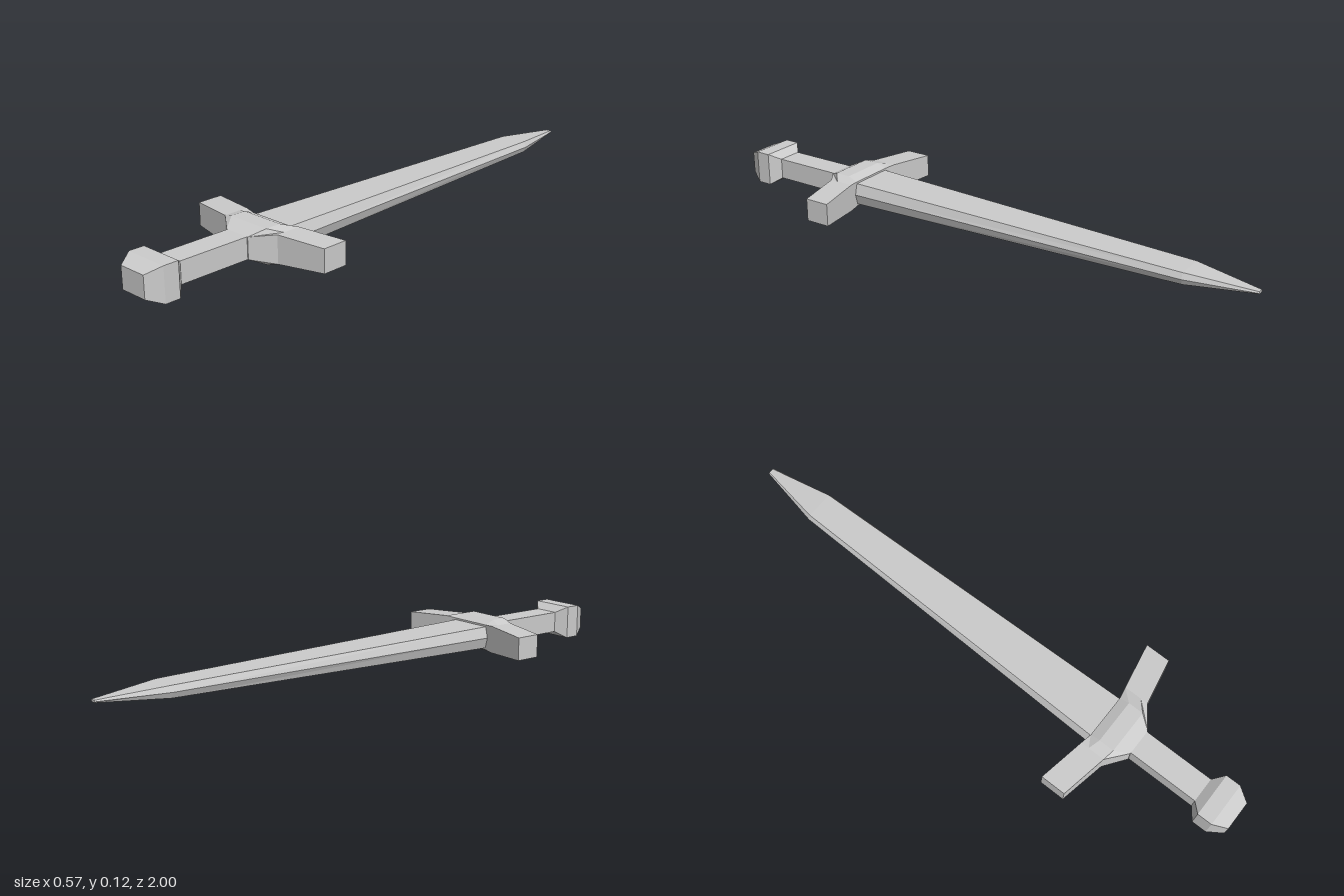
import * as THREE from 'three';

const MID = 0.06; // height of the sword's centre plane
const steel = new THREE.MeshStandardMaterial({ color: 0xcccccc, flatShading: true });

// Skin a list of matching rings and close both ends.
// Rings run counter-clockwise as seen from the first end.
function loft(name, rings) {
  const out = [];
  const tri = (a, b, c) => out.push(...a, ...b, ...c);
  const n = rings[0].length;
  const last = rings[rings.length - 1];
  for (let r = 0; r < rings.length - 1; r++) {
    const a = rings[r], b = rings[r + 1];
    for (let i = 0; i < n; i++) {
      const j = (i + 1) % n;
      tri(a[i], b[i], b[j]);
      tri(a[i], b[j], a[j]);
    }
  }
  for (let i = 1; i < n - 1; i++) {
    tri(rings[0][0], rings[0][i], rings[0][i + 1]);
    tri(last[0], last[i + 1], last[i]);
  }
  const geo = new THREE.BufferGeometry();
  geo.setAttribute('position', new THREE.Float32BufferAttribute(out, 3));
  geo.computeVertexNormals();
  const mesh = new THREE.Mesh(geo, steel);
  mesh.name = name;
  return mesh;
}

// Rectangular section at z with half width w and half height h
const rect = (z, w, h) => [
  [w, MID - h, z], [w, MID + h, z], [-w, MID + h, z], [-w, MID - h, z],
];

// Six-sided blade section: sharp edge at w, flat faces out to f
const bladeSection = (z, w, f, h) => [
  [w, MID, z], [f, MID + h, z], [-f, MID + h, z],
  [-w, MID, z], [-f, MID - h, z], [f, MID - h, z],
];

// Guard section across x, from [x, z, half height] points running back to front
function guardSection(points, side) {
  const top = points.map(([x, z, h]) => [x * side, MID + h, z]);
  const bottom = points.map(([x, z, h]) => [x * side, MID - h, z]).reverse();
  return [...top, ...bottom];
}

export function createModel() {
  const group = new THREE.Group();
  group.name = 'sword';

  // Pommel with bevelled ends
  group.add(loft('pommel', [
    rect(1.0, 0.052, 0.038), rect(0.95, 0.08, 0.059),
    rect(0.897, 0.08, 0.059), rect(0.865, 0.045, 0.037),
  ]));

  // Square grip
  group.add(loft('grip', [rect(0.87, 0.045, 0.037), rect(0.6, 0.045, 0.037)]));

  // Cross guard: swept arms meeting a raised, faceted centre
  const tip = [[0.287, 0.435, 0.04], [0.287, 0.465, 0.04], [0.287, 0.495, 0.04], [0.287, 0.525, 0.04]];
  const shoulder = [[0.12, 0.467, 0.048], [0.12, 0.497, 0.048], [0.12, 0.53, 0.048], [0.12, 0.557, 0.048]];
  const centre = [[0.08, 0.475, 0.045], [0.08, 0.51, 0.059], [0.08, 0.565, 0.059], [0.048, 0.612, 0.037]];
  const half = [tip, shoulder, centre];
  group.add(loft('crossGuard', [
    ...half.map((s) => guardSection(s, 1)),
    ...half.slice().reverse().map((s) => guardSection(s, -1)),
  ]));

  // Tapering blade with bevelled edges and a narrow tip
  group.add(loft('blade', [
    bladeSection(0.5, 0.093, 0.08, 0.039),
    bladeSection(-0.77, 0.059, 0.05, 0.02),
    bladeSection(-1.0, 0.013, 0.009, 0.004),
  ]));

  return group;
}
